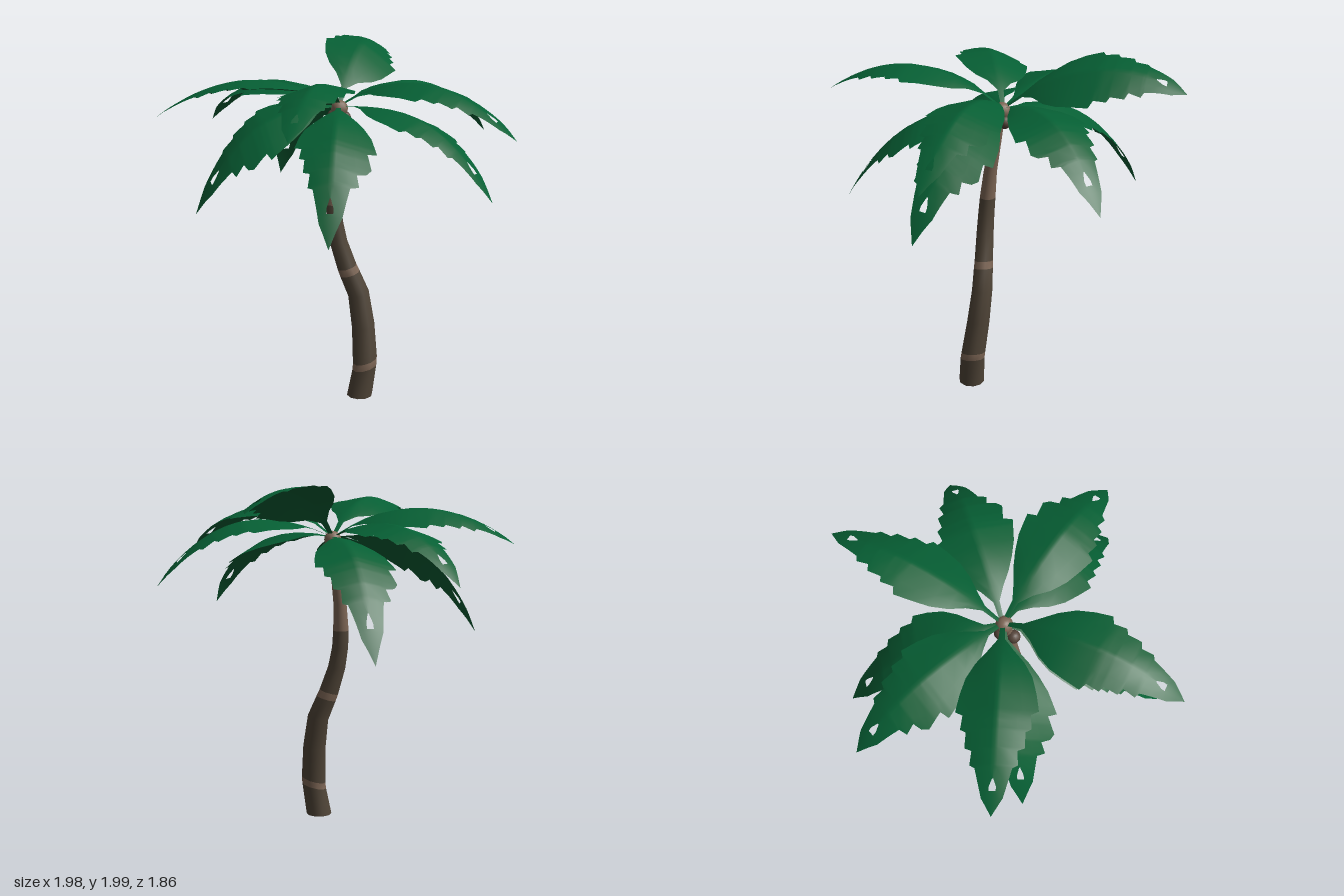
import * as THREE from 'three';

const leafGreen = new THREE.MeshStandardMaterial({ name: 'leafGreen', color: 0x065f34, side: THREE.DoubleSide });
const barkDark = new THREE.MeshStandardMaterial({ name: 'barkDark', color: 0x4f4437 });
const barkLight = new THREE.MeshStandardMaterial({ name: 'barkLight', color: 0x7d6655 });
const nutBrown = new THREE.MeshStandardMaterial({ name: 'nutBrown', color: 0x56453a });

function buildGeometry(positions, index) {
  const geo = new THREE.BufferGeometry();
  geo.setAttribute('position', new THREE.Float32BufferAttribute(positions, 3));
  geo.setIndex(index);
  geo.computeVertexNormals();
  return geo;
}

// Trunk stations: height, centre x, centre z, radius, ring tilt, bark of the piece above (0 dark, 1 light)
const TRUNK = [
  [0, 0.12, 0.19, 0.075, 0, 0], [0.175, 0.149, 0.187, 0.072, 0.25, 1],
  [0.215, 0.152, 0.182, 0.071, 0.28, 0], [0.42, 0.146, 0.15, 0.066, 0.2, 0],
  [0.61, 0.122, 0.123, 0.06, 0.25, 0], [0.73, 0.073, 0.108, 0.056, 0.3, 1],
  [0.77, 0.057, 0.103, 0.054, 0.3, 0], [0.92, 0.01, 0.088, 0.05, 0.15, 0],
  [1.04, -0.01, 0.077, 0.047, 0, 0], [1.14, -0.015, 0.068, 0.045, 0, 1],
  [1.3, -0.01, 0.053, 0.038, 0, 1], [1.67, 0.03, 0.0, 0.028, 0, 1],
];
const SIDES = 10;

function makeTrunk() {
  const pos = [], idx = [];
  for (const [y, x, z, r, tilt] of TRUNK) {
    for (let i = 0; i < SIDES; i++) {
      const a = (i / SIDES) * Math.PI * 2;
      pos.push(x + r * Math.cos(a), y + tilt * r * Math.cos(a), z + r * Math.sin(a));
    }
  }
  for (let k = 0; k < TRUNK.length - 1; k++) {
    for (let i = 0; i < SIDES; i++) {
      const a = k * SIDES + i, b = k * SIDES + (i + 1) % SIDES;
      idx.push(a, a + SIDES, b, b, a + SIDES, b + SIDES);
    }
  }
  const geo = buildGeometry(pos, idx);
  for (let k = 0; k < TRUNK.length - 1; k++) geo.addGroup(k * SIDES * 6, SIDES * 6, TRUNK[k][5]);
  return new THREE.Mesh(geo, [barkDark, barkLight]);
}

// Half-widths along the leaf: stalk, broad blade, torn notches, pointed end
const WIDE = [[0, 0.01], [0.11, 0.017], [0.18, 0.06], [0.25, 0.11], [0.33, 0.155], [0.42, 0.195], [0.55, 0.23],
  [0.565, 0.18], [0.66, 0.205], [0.69, 0.18], [0.705, 0.13], [0.76, 0.145], [0.775, 0.1], [0.9, 0.065], [1, 0]];
const NARROW = [[0, 0.01], [0.11, 0.017], [0.18, 0.065], [0.25, 0.125], [0.33, 0.17], [0.42, 0.195], [0.51, 0.212],
  [0.53, 0.172], [0.6, 0.18], [0.615, 0.15], [0.69, 0.152], [0.705, 0.115], [0.77, 0.122], [0.785, 0.095],
  [0.92, 0.055], [1, 0]];
const HOLE = [0.835, 0.87, 0.89];

function widthAt(profile, t) {
  const k = Math.max(1, profile.findIndex((p) => p[0] >= t));
  const [t0, w0] = profile[k - 1], [t1, w1] = profile[k];
  return w0 + (w1 - w0) * (t - t0) / (t1 - t0);
}

const ROWS = [...new Set([...WIDE, ...NARROW].map((p) => p[0]).concat(HOLE, 0.95))].sort((a, b) => a - b);
const CROWN = [0.03, 1.69, -0.015];

// A frond arches from the crown through a mid height to its tip; roll lifts its left edge, sag lowers its stalk
function makeFrond([tipX, tipY, tipZ, midY, roll, sag, left, right]) {
  const [bx, by, bz] = CROWN;
  const dx = tipX - bx, dz = tipZ - bz, len = Math.hypot(dx, dz);
  const rx = -dz / len, rz = dx / len;
  const bend = 2 * (tipY - by) - 4 * (midY - by), rise = tipY - by - bend;
  const fold = 0.26, pos = [], idx = [], cols = 7;
  for (const t of ROWS) {
    const l = widthAt(left, t), r = widthAt(right, t);
    const slit = t === HOLE[0] ? 0.003 : Math.min(0.018, 0.3 * l, 0.3 * r);
    const spine = by + rise * t + bend * t * t - sag * t * (1 - t) * (1 - 2 * t);
    for (const u of [-l, -l * 0.6, -slit, 0, slit, r * 0.6, r]) {
      const drop = fold * Math.abs(u) * Math.min(1, Math.abs(u) / 0.12);
      pos.push(bx + dx * t + rx * u, spine - drop - roll * u, bz + dz * t + rz * u);
    }
  }
  for (let k = 0; k < ROWS.length - 1; k++) {
    const inHole = ROWS[k] >= HOLE[0] && ROWS[k] < HOLE[2];
    for (let c = 0; c < cols - 1; c++) {
      if (inHole && (c === 2 || c === 3)) continue;
      const a = k * cols + c, f = a + cols;
      idx.push(a, a + 1, f, a + 1, f + 1, f);
    }
  }
  return new THREE.Mesh(buildGeometry(pos, idx), leafGreen);
}

// Tip x, y, z, height at the middle, roll, sag, left and right outline
const FRONDS = [
  [0.44, 1.86, -0.93, 1.955, 0.42, 0, NARROW, NARROW], [0.98, 1.44, -0.35, 1.79, 0, 0.2, NARROW, WIDE],
  [0.90, 1.58, 0.54, 1.85, 0, 0, WIDE, NARROW], [0.77, 1.25, 0.57, 1.67, -0.1, 0.3, WIDE, NARROW],
  [-0.38, 1.71, 0.93, 1.9, 0.1, 0, NARROW, NARROW], [-0.17, 1.13, 0.86, 1.61, 0, 0.3, WIDE, NARROW],
  [-1.0, 1.65, -0.04, 1.85, 0.2, 0, NARROW, NARROW], [-0.80, 1.13, 0.12, 1.63, -0.35, 0.3, WIDE, NARROW],
  [-0.64, 1.48, -0.76, 1.78, 0, 0.2, WIDE, NARROW], [-0.21, 1.09, -0.86, 1.62, 0, 0.3, WIDE, NARROW],
];

// Crown knob and hanging nuts: x, y, z, radius, material
const BALLS = [
  ['crownKnob', 0.03, 1.675, -0.008, 0.049, barkLight], ['coconut', 0.06, 1.62, -0.018, 0.038, nutBrown],
  ['coconut', 0.0, 1.585, 0.043, 0.038, nutBrown], ['coconut', 0.0, 1.63, -0.025, 0.038, nutBrown],
];

export function createModel() {
  const model = new THREE.Group();
  model.name = 'palmTree';
  const add = (mesh, name) => {
    mesh.name = name;
    model.add(mesh);
    return mesh;
  };

  add(makeTrunk(), 'trunk');
  const base = add(new THREE.Mesh(new THREE.CircleGeometry(0.075, SIDES), barkDark), 'trunkBase');
  base.rotation.x = Math.PI / 2;
  base.position.set(0.12, 0, 0.19);

  for (const [name, x, y, z, r, material] of BALLS) {
    add(new THREE.Mesh(new THREE.SphereGeometry(r, 12, 8), material), name).position.set(x, y, z);
  }
  for (const frond of FRONDS) add(makeFrond(frond), 'frond');
  return model;
}
